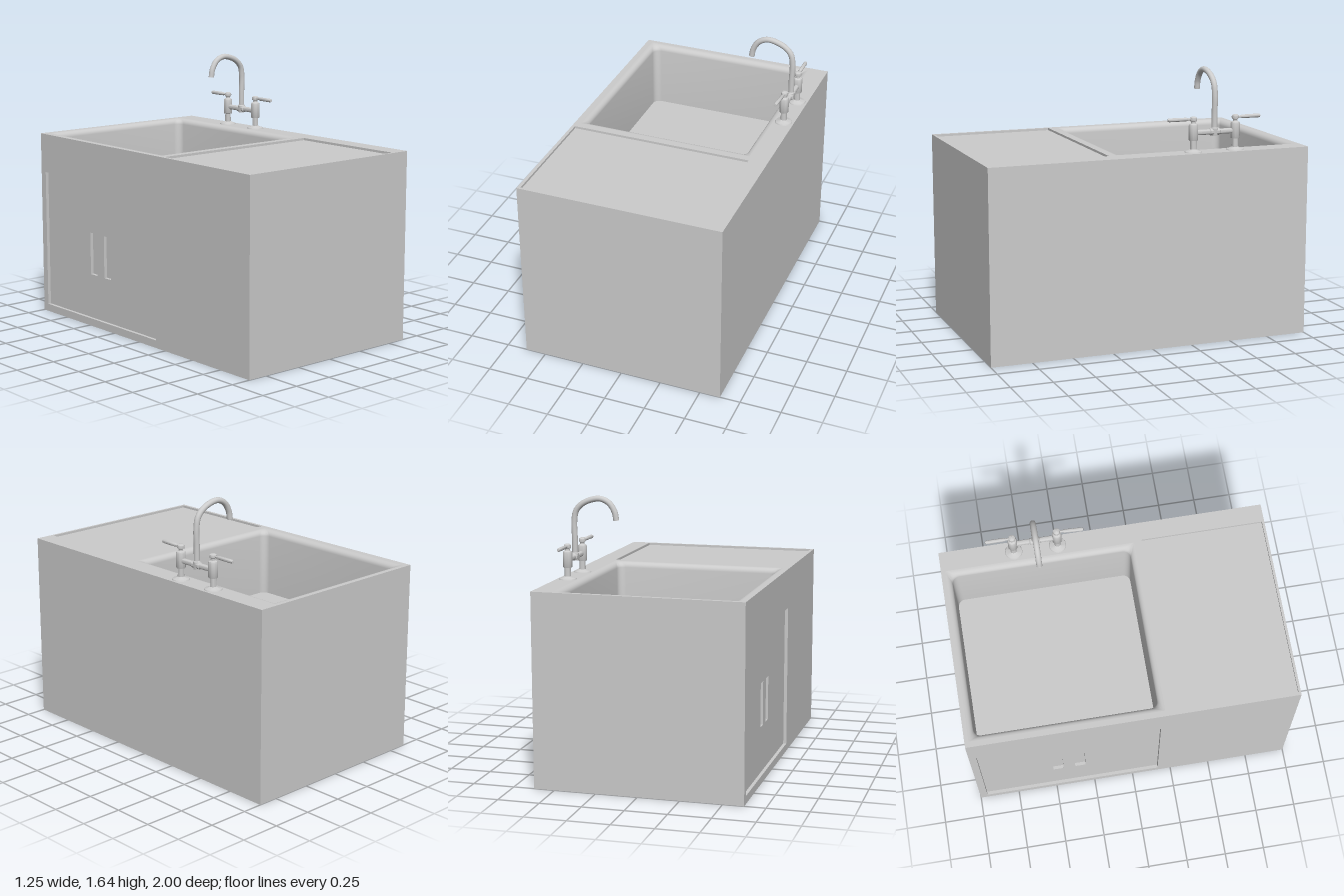
import * as THREE from 'three';
import { toCreasedNormals } from 'three/addons/utils/BufferGeometryUtils.js';

const W = 1.25, H = 1.16, D = 2;
const material = new THREE.MeshStandardMaterial({ color: 0xcccccc, side: THREE.DoubleSide });

function add(parent, name, geometry) {
  const mesh = new THREE.Mesh(geometry, material);
  mesh.name = name;
  parent.add(mesh);
  return mesh;
}

// Counter-clockwise rounded rectangle, grown outwards by e
function ring([x0, y0, x1, y1], r = 0, e = 0) {
  const corners = [[x1, y0, 1, -1], [x1, y1, 1, 1], [x0, y1, -1, 1], [x0, y0, -1, -1]];
  const points = [];
  corners.forEach(([x, y, sx, sy], c) => {
    const steps = r > 0 ? 6 : 0;
    for (let i = 0; i <= steps; i++) {
      const a = (c - 1) * Math.PI / 2 + (steps ? i / steps : 0) * Math.PI / 2;
      points.push(new THREE.Vector2(
        x + sx * (e - r) + r * Math.cos(a), y + sy * (e - r) + r * Math.sin(a)));
    }
  });
  return points;
}

// Flat sheet facing +z, with openings cut through it
function sheet(outline, holes = [], z = 0) {
  const shape = new THREE.Shape(outline);
  holes.forEach((h) => shape.holes.push(new THREE.Path(h)));
  return new THREE.ShapeGeometry(shape).translate(0, 0, z);
}

// Inward-facing walls running through a list of { points, z } sections
function walls(sections) {
  const position = [], index = [], n = sections[0].points.length;
  sections.forEach(({ points, z }) => points.forEach((p) => position.push(p.x, p.y, z)));
  for (let s = 0; s < sections.length - 1; s++) {
    for (let i = 0; i < n; i++) {
      const a = s * n + i, b = s * n + (i + 1) % n;
      index.push(a, b, a + n, b, b + n, a + n);
    }
  }
  const g = new THREE.BufferGeometry();
  g.setAttribute('position', new THREE.Float32BufferAttribute(position, 3));
  g.setIndex(index);
  return toCreasedNormals(g, 0.6);
}

function lathe(profile) {
  const points = profile.map(([r, y]) => new THREE.Vector2(r, y));
  return toCreasedNormals(new THREE.LatheGeometry(points, 24), 0.6);
}

const rect = (w, h) => ring([-w / 2, -h / 2, w / 2, h / 2]);

function createCounter() {
  const top = new THREE.Group();
  top.name = 'counterTop';
  top.rotation.x = -Math.PI / 2;
  top.position.y = H;

  // Basin with a rounded lip that closes to mitred corners
  const basin = [-0.555, -0.155, 0.465, 0.94], lip = 0.035, depth = 0.415;
  const sections = [];
  for (let i = 0; i <= 6; i++) {
    const t = i / 6 * Math.PI / 2;
    sections.push({
      points: ring(basin, 0.005 + 0.04 * Math.sin(t), lip * (1 - Math.sin(t))),
      z: -lip * (1 - Math.cos(t)),
    });
  }
  const rim = sections[0].points, foot = sections[6].points;
  sections.push({ points: foot, z: -depth });
  add(top, 'basinWalls', walls(sections));
  add(top, 'basinFloor', sheet(foot, [], -depth));

  // Shallow draining tray beside the basin
  const tray = ring([-0.605, -0.985, 0.51, -0.235]), trayDepth = 0.014;
  add(top, 'trayWalls', walls([{ points: tray, z: 0 }, { points: tray, z: -trayDepth }]));
  add(top, 'trayFloor', sheet(tray, [], -trayDepth));

  add(top, 'worktop', sheet(rect(W, D), [rim, tray]));
  return top;
}

function createCupboardSide() {
  const side = new THREE.Group();
  side.name = 'cupboardSide';
  side.rotation.y = -Math.PI / 2;
  side.position.x = -W / 2;

  // Inset door with two recessed finger grips
  const inset = 0.02;
  const door = ring([-0.955, 0.047, 0.165, 0.915]);
  const grips = [-0.475, -0.335].map((z) => ring([z - 0.033, 0.325, z + 0.033, 0.59]));
  add(side, 'sidePanel', sheet(ring([-D / 2, 0, D / 2, H]), [door]));
  add(side, 'doorFrame', walls([{ points: door, z: 0 }, { points: door, z: -inset }]));
  add(side, 'door', sheet(door, grips, -inset));
  grips.forEach((g) => {
    add(side, 'gripWalls', walls([{ points: g, z: -inset }, { points: g, z: -2 * inset }]));
    add(side, 'gripBack', sheet(g, [], -2 * inset));
  });
  return side;
}

function createTap() {
  const tap = new THREE.Group();
  tap.name = 'tap';
  tap.position.set(0.56, H, -0.41);

  const post = lathe([
    [0, 0], [0.053, 0], [0.05, 0.006], [0.03, 0.012], [0.019, 0.018], [0.018, 0.068],
    [0.026, 0.07], [0.028, 0.075], [0.028, 0.158], [0.025, 0.166], [0.014, 0.172],
    [0.013, 0.182], [0.02, 0.186], [0.022, 0.195], [0.02, 0.205], [0.011, 0.211], [0, 0.212],
  ]);
  const lever = lathe([
    [0, 0], [0.007, 0.005], [0.007, 0.038], [0.011, 0.045], [0.0115, 0.15],
    [0.009, 0.16], [0, 0.163],
  ]);

  // A post and lever on each side
  for (const s of [-1, 1]) {
    add(tap, 'post', post).position.z = s * 0.135;
    const handle = add(tap, 'lever', lever);
    handle.position.set(0, 0.196, s * 0.135);
    handle.rotation.set(s * Math.PI / 2, 0, s > 0 ? 0.05 : 0);
  }

  // Bridge between the posts and its centre joint
  const bridge = lathe([
    [0.016, -0.135], [0.016, -0.032], [0.021, -0.028], [0.021, 0.028], [0.016, 0.032], [0.016, 0.135],
  ]);
  const bar = add(tap, 'bridge', bridge);
  bar.rotation.x = Math.PI / 2;
  bar.position.y = 0.115;
  add(tap, 'spoutCollar', lathe([
    [0, 0.09], [0.02, 0.092], [0.022, 0.11], [0.022, 0.135], [0.017, 0.142],
  ]));

  // Swan-neck spout
  const path = new THREE.CatmullRomCurve3([
    [0, 0.11], [0, 0.22], [0.002, 0.33], [-0.012, 0.395], [-0.06, 0.441], [-0.155, 0.467],
    [-0.215, 0.443], [-0.25, 0.39], [-0.26, 0.34],
  ].map(([x, y]) => new THREE.Vector3(x, y, 0)));
  add(tap, 'spout', new THREE.TubeGeometry(path, 60, 0.0175, 20));
  const tip = add(tap, 'spoutTip', new THREE.CircleGeometry(0.0175, 20));
  tip.rotation.x = Math.PI / 2;
  tip.position.set(-0.26, 0.341, 0);
  return tap;
}

export function createModel() {
  const model = new THREE.Group();
  model.name = 'sinkUnit';
  model.add(createCounter(), createCupboardSide(), createTap());

  // Plain outer panels
  add(model, 'frontPanel', sheet(rect(W, H))).position.set(0, H / 2, D / 2);
  const back = add(model, 'backPanel', sheet(rect(W, H)));
  back.position.set(0, H / 2, -D / 2);
  back.rotation.y = Math.PI;
  const plain = add(model, 'plainSide', sheet(rect(D, H)));
  plain.position.set(W / 2, H / 2, 0);
  plain.rotation.y = Math.PI / 2;
  add(model, 'base', sheet(rect(W, D))).rotation.x = Math.PI / 2;
  return model;
}
